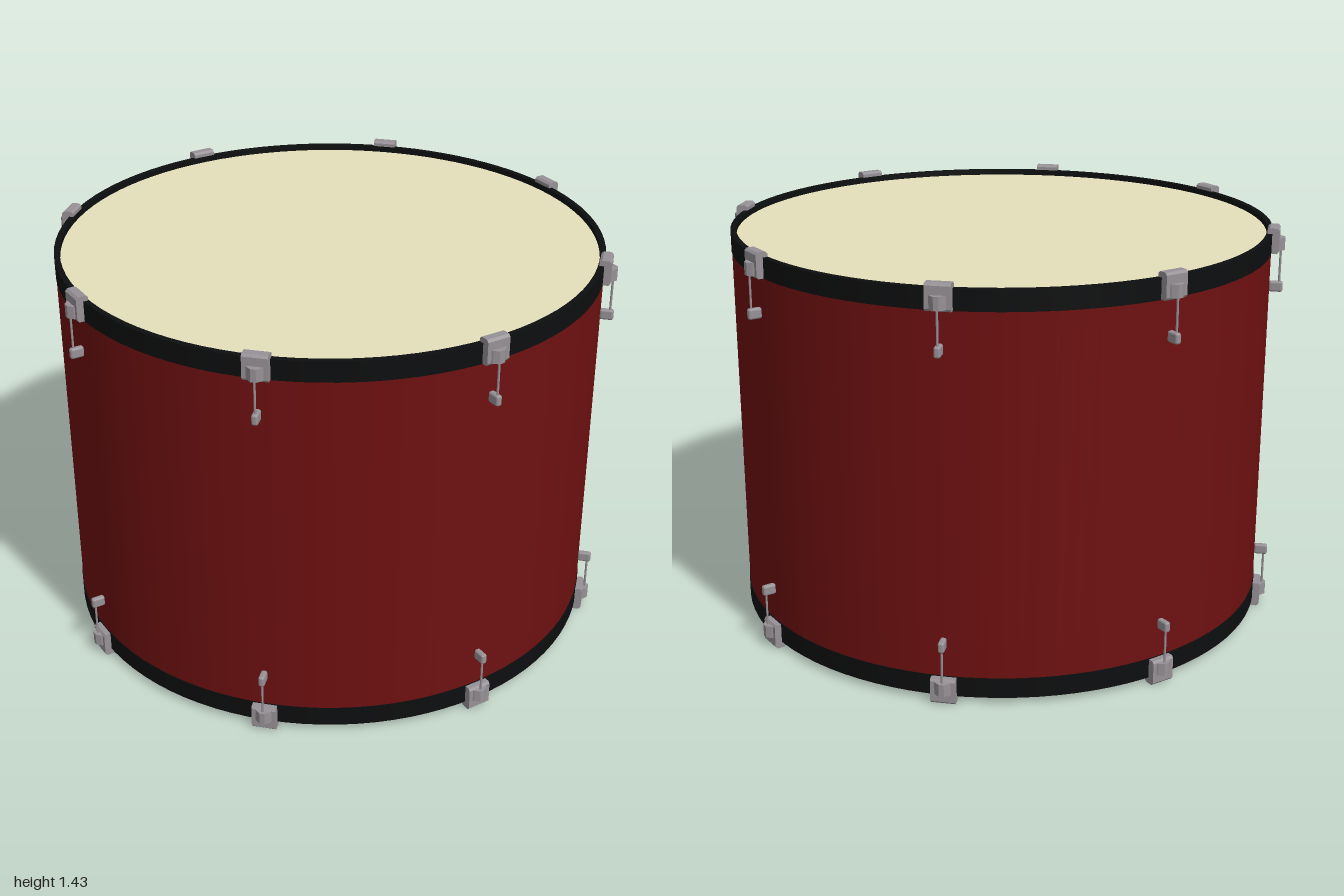
import * as THREE from 'three';
import { RoundedBoxGeometry } from 'three/addons/geometries/RoundedBoxGeometry.js';

const HALF = 0.715;   // half of the total height
const R = 0.953;      // shell radius
const LUGS = 8;

const red = new THREE.MeshStandardMaterial({ color: 0x6e1010 });
const black = new THREE.MeshStandardMaterial({ color: 0x0d0e0f });
const cream = new THREE.MeshStandardMaterial({ color: 0xe4dfba });
const metal = new THREE.MeshStandardMaterial({ color: 0x969196 });

function part(name, geometry, material, parent) {
  const mesh = new THREE.Mesh(geometry, material);
  mesh.name = name;
  parent.add(mesh);
  return mesh;
}

// Rectangular ring; each edge is its own lathe so corners stay sharp
function ring(inner, outer, y0, y1, parent) {
  const p = [[inner, y0], [outer, y0], [outer, y1], [inner, y1], [inner, y0]].map(a => new THREE.Vector2(...a));
  for (let i = 0; i < 4; i++) part('hoop', new THREE.LatheGeometry([p[i], p[i + 1]], 96), black, parent);
}

function polygon(points) {
  return new THREE.Shape(points.map(a => new THREE.Vector2(...a)));
}

// Hooked claw seen from its side: x is the radius, y the height
function clawGeometry() {
  const shape = polygon([[0.938, 0.694], [0.938, 0.706], [0.946, 0.713], [0.972, 0.713], [0.98, 0.705],
    [0.98, 0.632], [0.974, 0.624], [0.955, 0.624], [0.955, 0.694]]);
  const g = new THREE.ExtrudeGeometry(shape, { depth: 0.084, bevelEnabled: false });
  return g.translate(0, 0, -0.042);
}

// Tapered boss that carries the tension rod, drawn in plan and raised in y
function bossGeometry() {
  const shape = polygon([[0.976, -0.03], [0.985, -0.025], [0.999, -0.009], [0.999, 0.009], [0.985, 0.025], [0.976, 0.03]]);
  const g = new THREE.ExtrudeGeometry(shape, { depth: 0.044, bevelEnabled: false });
  return g.rotateX(-Math.PI / 2).translate(0, 0.632, 0);
}

// One tension fitting: claw, boss, rod and lug, placed along +x
function tensionFitting(geo) {
  const g = new THREE.Group();
  g.name = 'tensionFitting';
  part('claw', geo.claw, metal, g);
  part('rodBoss', geo.boss, metal, g);
  part('tensionRod', geo.rod, metal, g).position.set(0.986, 0.57, 0);
  part('lug', geo.lug, metal, g).position.set(0.975, 0.5, 0);
  return g;
}

// One end of the drum: hoop, head and the fittings around it
function drumEnd(name, geo) {
  const end = new THREE.Group();
  end.name = name;
  ring(0.935, R + 0.002, 0.622, 0.693, end);
  const head = part('head', new THREE.CircleGeometry(0.937, 96), cream, end);
  head.rotation.x = -Math.PI / 2;
  head.position.y = 0.673;
  for (let i = 0; i < LUGS; i++) {
    const fitting = tensionFitting(geo);
    fitting.rotation.y = (i / LUGS) * Math.PI * 2;
    end.add(fitting);
  }
  return end;
}

export function createModel() {
  const drum = new THREE.Group();
  drum.name = 'drum';
  const geo = {
    claw: clawGeometry(),
    boss: bossGeometry(),
    rod: new THREE.CylinderGeometry(0.004, 0.004, 0.15, 8),
    lug: new RoundedBoxGeometry(0.048, 0.038, 0.022, 2, 0.008),
  };

  // Shell between the hoops
  const shell = part('shell', new THREE.CylinderGeometry(R, R, 1.25, 96, 1, true), red, drum);
  shell.position.y = HALF;

  // Upper end, and the same end turned over
  const top = drumEnd('topEnd', geo);
  const bottom = drumEnd('bottomEnd', geo);
  top.position.y = bottom.position.y = HALF;
  bottom.rotation.x = Math.PI;
  drum.add(top, bottom);
  return drum;
}
